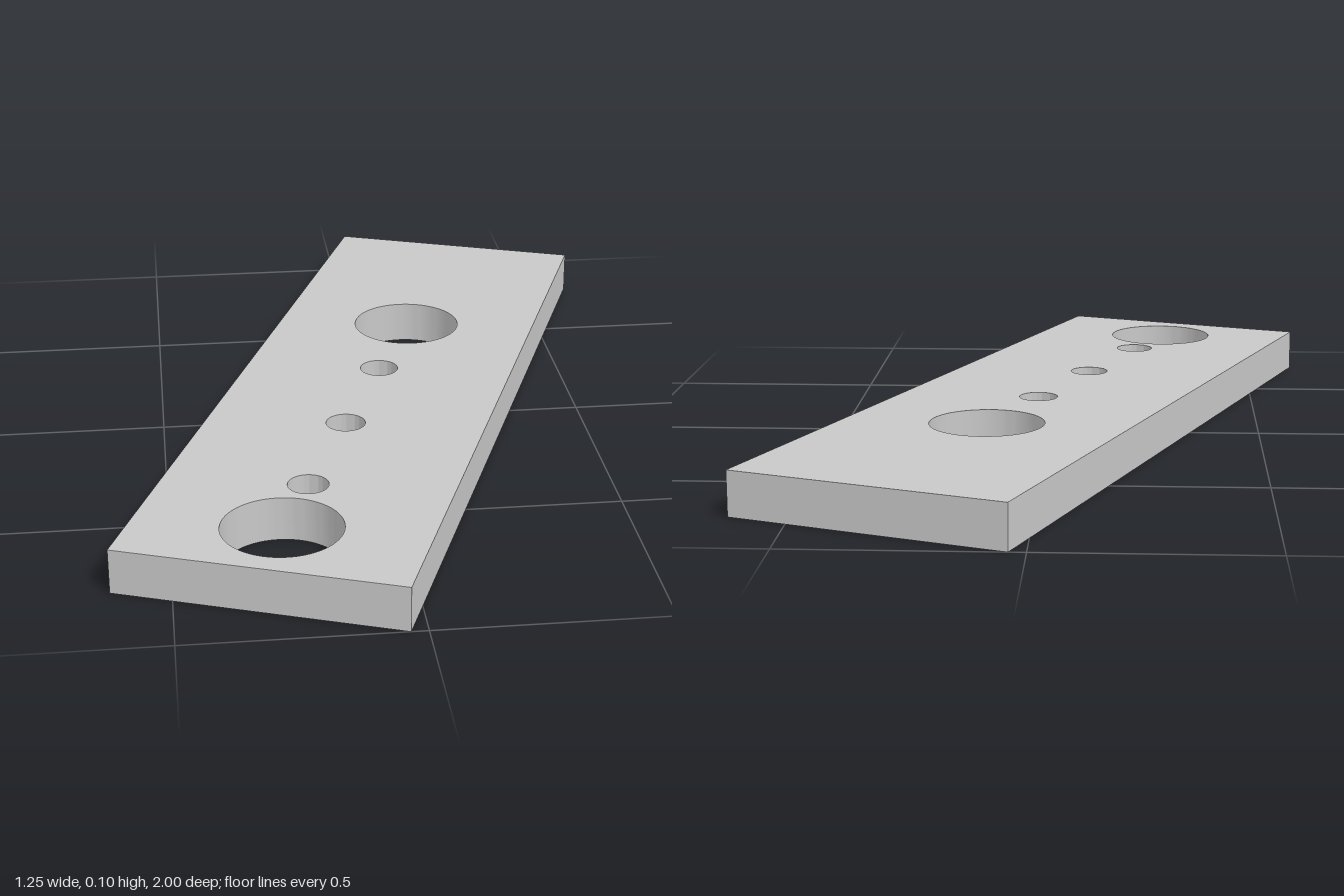
import * as THREE from 'three';
import { toCreasedNormals } from 'three/addons/utils/BufferGeometryUtils.js';

const WIDTH = 0.63, LENGTH = 1.9, THICKNESS = 0.1;
const TURN = THREE.MathUtils.degToRad(-20.4);

// Holes on the centre line: [distance towards the front, radius]
const HOLES = [
  [-0.362, 0.13],
  [-0.07, 0.045],
  [0.25, 0.045],
  [0.57, 0.045],
  [0.77, 0.13],
];

export function createModel() {
  const group = new THREE.Group();
  group.name = 'drilledPlate';

  const grey = new THREE.MeshStandardMaterial({ color: 0xc8c8c8 });
  grey.name = 'grey';

  // Rectangular outline with round through holes
  const w = WIDTH / 2, l = LENGTH / 2;
  const outline = new THREE.Shape([
    new THREE.Vector2(-w, -l),
    new THREE.Vector2(w, -l),
    new THREE.Vector2(w, l),
    new THREE.Vector2(-w, l),
  ]);
  for (const [front, radius] of HOLES) {
    outline.holes.push(new THREE.Path().absarc(0, -front, radius, 0, Math.PI * 2, true));
  }

  // Lay the plate flat and turn it about the vertical axis
  const extruded = new THREE.ExtrudeGeometry(outline, {
    depth: THICKNESS, bevelEnabled: false, curveSegments: 48,
  });
  extruded.rotateX(-Math.PI / 2);
  const plate = new THREE.Mesh(toCreasedNormals(extruded, 0.5), grey);
  plate.name = 'plate';
  plate.rotation.y = TURN;
  group.add(plate);

  return group;
}
